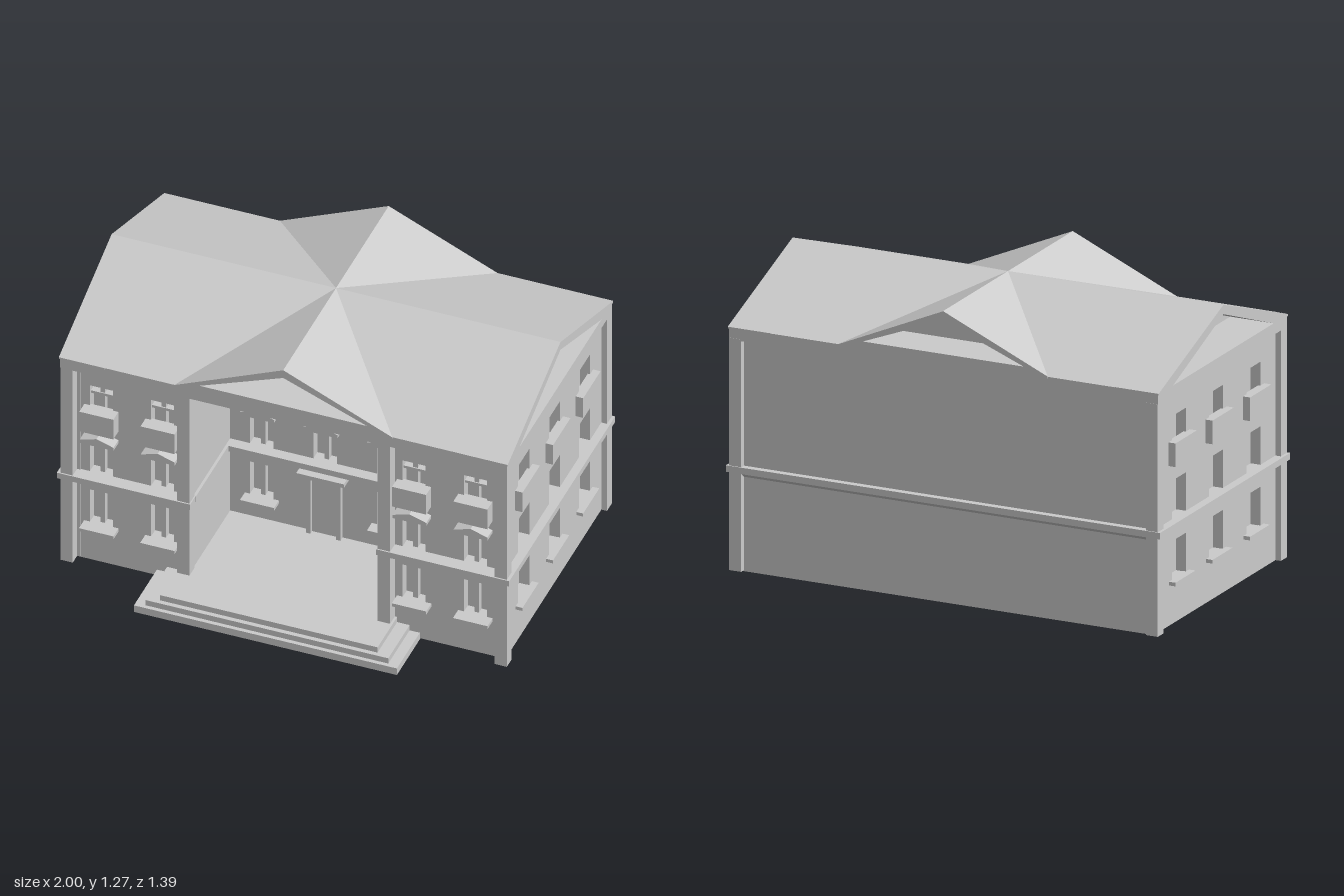
import * as THREE from 'three';

const MAT = new THREE.MeshStandardMaterial({ color: 0xcccccc, flatShading: true, side: THREE.DoubleSide });
const Z0 = -0.1; // centre of the building's depth
const EAVE = 1.068, RIDGE = 1.28, HALF_X = 0.99, HALF_Z = 0.592, CROSS = 0.48;

function add(parent, name, geo, x = 0, y = 0, z = 0) {
  const m = new THREE.Mesh(geo, MAT);
  m.name = name;
  m.position.set(x, y, z);
  parent.add(m);
  return m;
}

// box given by its limits on each axis
function box(parent, name, x0, x1, y0, y1, z0, z1) {
  return add(parent, name, new THREE.BoxGeometry(x1 - x0, y1 - y0, z1 - z0),
    (x0 + x1) / 2, (y0 + y1) / 2, (z0 + z1) / 2);
}

function outline(points, Type = THREE.Shape) {
  return new Type(points.map(([x, y]) => new THREE.Vector2(x, y)));
}

function extrude(shape, depth) {
  return new THREE.ExtrudeGeometry(shape, { depth, bevelEnabled: false });
}

const rect = (x0, x1, y0, y1) => [[x0, y0], [x1, y0], [x1, y1], [x0, y1]];

// sloping moulding under the belt course, running along local x
function moulding(parent, x0, x1, reach, drop) {
  const s = outline([[0, 0.44 - drop], [reach, 0.44], [0, 0.44]]);
  const geo = extrude(s, x1 - x0);
  geo.rotateY(-Math.PI / 2);
  add(parent, 'beltMoulding', geo, x1, 0, 0);
}

function sill(parent, x, w, y, reach) {
  box(parent, 'windowSill', x - w / 2, x + w / 2, y, y + 0.016, -0.01, reach);
}

// small gabled cap over a window
function hood(parent, x) {
  const s = outline([[-0.075, 0.647], [0.075, 0.647], [0.075, 0.663], [0, 0.687], [-0.075, 0.663]]);
  add(parent, 'windowHood', extrude(s, 0.055), x, 0, 0);
}

function balcony(parent, x, w, reach) {
  box(parent, 'balcony', x - w / 2, x + w / 2, 0.708, 0.81, -0.01, reach);
}

// upright bar in the middle of a window
function mullion(parent, x, y0, y1) {
  box(parent, 'mullion', x - 0.01, x + 0.01, y0, y1, -0.045, -0.015);
}

// wall with openings and recessed panes; local z = 0 is its outer face
function facade(root, name, x0, x1, base, openings) {
  const g = new THREE.Group();
  g.name = name;
  root.add(g);
  const s = outline(rect(x0, x1, base, 1.02));
  for (const [x, w, y0, y1] of openings) {
    s.holes.push(outline(rect(x - w / 2, x + w / 2, y0, y1), THREE.Path));
    box(g, 'windowPane', x - w / 2, x + w / 2, y0, y1, -0.05, -0.045);
  }
  add(g, 'wall', extrude(s, 0.045), 0, 0, -0.045);
  return g;
}

// gable frame with a recessed triangular panel; local z = 0 is its face
function pediment(root, half, holeHalf, holeBase, depth) {
  const g = new THREE.Group();
  g.name = 'pediment';
  root.add(g);
  const s = outline([[-half, 1.06], [half, 1.06], [half, EAVE], [0, RIDGE], [-half, EAVE]]);
  const opening = [[-holeHalf, holeBase], [holeHalf, holeBase], [0, 1.24]];
  s.holes.push(outline(opening, THREE.Path));
  add(g, 'gableFrame', extrude(s, depth), 0, -0.001, -depth);
  add(g, 'gablePanel', new THREE.ShapeGeometry(outline(opening)), 0, -0.001, -depth);
  return g;
}

// one quarter of the cross-gabled roof: main slope and cross slope meeting in a valley
function roofQuarter(sx, sz) {
  const p = (x, y, z) => [sx * x, y, sz * z];
  const valley = p(CROSS, EAVE, HALF_Z), peak = p(0, RIDGE, 0);
  const eave = p(HALF_X, EAVE, HALF_Z), gableTop = p(HALF_X, RIDGE, 0), crossTop = p(0, RIDGE, HALF_Z);
  const faces = [[eave, gableTop, peak], [eave, peak, valley], [valley, peak, crossTop]];
  if (sx * sz < 0) faces.forEach(f => f.reverse());
  const geo = new THREE.BufferGeometry();
  geo.setAttribute('position', new THREE.Float32BufferAttribute(faces.flat(2), 3));
  geo.computeVertexNormals();
  return geo;
}

const storeys = [[0.205, 0.373], [0.468, 0.634], [0.74, 0.913]];
const grid = (xs, w) => xs.flatMap(x => storeys.map(([a, b]) => [x, w, a, b]));

export function createModel() {
  const root = new THREE.Group();
  root.name = 'townHall';

  for (const s of [-1, 1]) {
    // projecting front wings
    const xs = [s * 0.555, s * 0.825];
    const wing = facade(root, 'frontWing', s > 0 ? 0.42 : -0.94, s > 0 ? 0.94 : -0.42, 0.012, grid(xs, 0.101));
    wing.position.z = 0.435;
    for (const x of xs) {
      sill(wing, x, 0.152, 0.19, 0.058);
      hood(wing, x);
      balcony(wing, x, 0.15, 0.057);
      for (const [a, b] of storeys) mullion(wing, x, a, b);
      box(wing, 'transom', x - 0.05, x + 0.05, 0.868, 0.88, -0.045, -0.01);
    }
    moulding(wing, s * 0.705 - 0.235, s * 0.705 + 0.235, 0.053, 0.012);

    // end walls
    const zs = [-0.335, 0.008, 0.346].map(z => z * s);
    const end = facade(root, 'endWall', -0.54, 0.54, 0.016, grid(zs, 0.125));
    end.rotation.y = s * Math.PI / 2;
    end.position.set(s * 0.96, 0, Z0);
    for (const z of zs) {
      sill(end, z, 0.182, 0.19, 0.03);
      balcony(end, z, 0.195, 0.033);
    }
    moulding(end, -0.54, 0.54, 0.025, 0.025);

    // return walls of the entrance court
    const ret = facade(root, 'courtSideWall', -0.208, 0.208, 0.08, []);
    ret.rotation.y = -s * Math.PI / 2;
    ret.position.set(s * 0.42, 0, 0.227);
    box(ret, 'beltCourse', -0.208, 0.208, 0.44, 0.468, -0.01, 0.012);

    // piers
    for (const z of [0.435, -0.69]) {
      box(root, 'cornerPier', s * 0.9575 - 0.0275, s * 0.9575 + 0.0275, 0.016, 1.02, z, z + 0.054);
    }
    box(root, 'courtPier', s * 0.4425 - 0.0275, s * 0.4425 + 0.0275, 0.016, 1.02, 0.435, 0.489);

    // belt course on the wing front and the end wall
    box(root, 'beltCourse', s * 0.704 - 0.294, s * 0.704 + 0.294, 0.44, 0.468, 0.42, 0.495);
    box(root, 'beltCourse', s * 0.965 - 0.033, s * 0.965 + 0.033, 0.44, 0.468, -0.695, 0.495);

    // roof quarters and pediments
    for (const t of [-1, 1]) add(root, 'roofSlope', roofQuarter(s, t), 0, 0, Z0);
    const side = pediment(root, HALF_Z, 0.46, 1.066, 0.2);
    side.rotation.y = s * Math.PI / 2;
    side.position.set(s * HALF_X, 0, Z0);
    const cross = pediment(root, CROSS, 0.37, 1.095, 0.2);
    cross.rotation.y = s > 0 ? 0 : Math.PI;
    cross.position.z = Z0 + s * HALF_Z;
  }

  // back wall of the entrance court, with the doorway
  const court = facade(root, 'courtBackWall', -0.43, 0.43, 0.08, [
    ...grid([-0.28, 0.28], 0.105), [0, 0.105, 0.468, 0.634], [0, 0.105, 0.74, 0.913],
  ]);
  court.position.z = 0.02;
  for (const x of [-0.28, 0, 0.28]) {
    if (x) sill(court, x, 0.15, 0.19, 0.055);
    hood(court, x);
    sill(court, x, 0.15, 0.735, 0.055);
    for (const [a, b] of storeys) if (x || a > 0.4) mullion(court, x, a, b);
  }
  moulding(court, -0.42, 0.42, 0.045, 0.012);
  box(court, 'beltCourse', -0.42, 0.42, 0.44, 0.468, -0.01, 0.05);
  const surround = outline([[-0.076, 0.09], [-0.056, 0.09], [-0.056, 0.372], [0.056, 0.372],
    [0.056, 0.09], [0.076, 0.09], [0.076, 0.385], [-0.076, 0.385]]);
  add(court, 'doorSurround', extrude(surround, 0.025));
  box(court, 'door', -0.056, 0.056, 0.09, 0.372, 0, 0.006);
  box(court, 'doorHood', -0.105, 0.105, 0.4, 0.42, 0, 0.06);

  // plain rear wall
  const rear = facade(root, 'rearWall', -0.94, 0.94, 0.012, []);
  rear.rotation.y = Math.PI;
  rear.position.z = -0.665;
  moulding(rear, -0.935, 0.935, 0.024, 0.02);
  box(root, 'beltCourse', -0.998, 0.998, 0.44, 0.468, -0.695, -0.64);

  // floor strips, entrance platform and steps
  box(root, 'floorStrip', -0.93, 0.93, 0.094, 0.104, -0.63, -0.5);
  box(root, 'floorStrip', -0.93, 0.93, 0.094, 0.104, -0.3, 0);
  box(root, 'lowerStep', -0.58, 0.58, 0.006, 0.04, 0.34, 0.693);
  box(root, 'middleStep', -0.535, 0.535, 0.04, 0.067, 0.34, 0.675);
  box(root, 'platform', -0.48, 0.48, 0.012, 0.094, 0.01, 0.655);

  // cornice slab under the roof
  box(root, 'cornice', -0.986, 0.986, 1.012, 1.065, -0.689, 0.489);

  return root;
}
